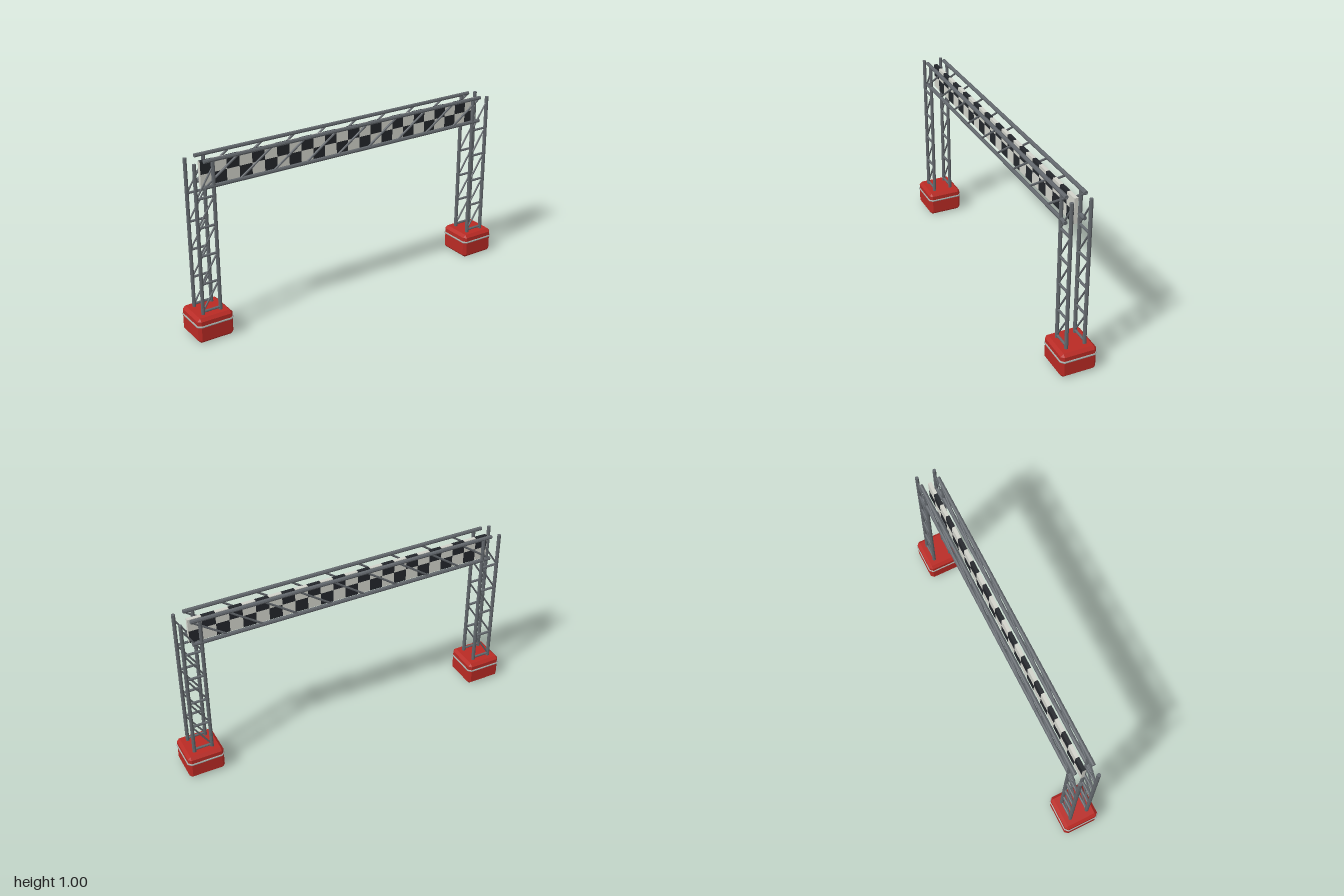
import * as THREE from 'three';
import { ConvexGeometry } from 'three/addons/geometries/ConvexGeometry.js';

const mat = (color) => new THREE.MeshStandardMaterial({ color, flatShading: true });
const UP = new THREE.Vector3(0, 1, 0);

export function createModel() {
  const root = new THREE.Group();
  const steel = mat(0x62676c), red = mat(0xb82a24), strap = mat(0xa3a9a6);
  const dark = mat(0x23262b), light = mat(0xd0d1c9);

  // Straight round bar between two points
  function bar(parent, name, a, b, r, material = steel) {
    const p = new THREE.Vector3(...a), q = new THREE.Vector3(...b);
    const dir = q.clone().sub(p);
    const m = new THREE.Mesh(new THREE.CylinderGeometry(r, r, dir.length(), 8), material);
    m.position.copy(p).add(q).multiplyScalar(0.5);
    m.quaternion.setFromUnitVectors(UP, dir.normalize());
    m.name = name;
    parent.add(m);
  }

  function box(parent, name, w, h, d, x, y, z, material) {
    const m = new THREE.Mesh(new THREE.BoxGeometry(w, h, d), material);
    m.position.set(x, y, z);
    m.name = name;
    parent.add(m);
  }

  // Ballast bases: box with every edge chamfered, and a strap around it
  const hx = 0.103, hz = 0.101, hy = 0.0725, c = 0.016;
  function makeBase(x) {
    const g = new THREE.Group();
    g.name = 'base';
    const pts = [];
    for (const sx of [-1, 1]) for (const sy of [-1, 1]) for (const sz of [-1, 1]) {
      pts.push(
        new THREE.Vector3(sx * hx, sy * (hy - c), sz * (hz - c)),
        new THREE.Vector3(sx * (hx - c), sy * hy, sz * (hz - c)),
        new THREE.Vector3(sx * (hx - c), sy * (hy - c), sz * hz));
    }
    const block = new THREE.Mesh(new ConvexGeometry(pts), red);
    block.position.y = hy;
    block.name = 'ballastBlock';
    g.add(block);

    const y = 0.1;
    const loop = [
      [hx, y, hz - c], [hx - c, y, hz], [c - hx, y, hz], [-hx, y, hz - c],
      [-hx, y, c - hz], [c - hx, y, -hz], [hx - c, y, -hz], [hx, y, c - hz]];
    loop.forEach((p, i) => {
      bar(g, 'strap', p, loop[(i + 1) % 8], 0.0055, strap);
      const joint = new THREE.Mesh(new THREE.SphereGeometry(0.0055, 8, 6), strap);
      joint.position.set(...p);
      joint.name = 'strapJoint';
      g.add(joint);
    });
    g.position.x = x;
    root.add(g);
  }

  // Ladder truss of one tower face
  function makeTower(x, z) {
    const g = new THREE.Group();
    g.name = 'towerFace';
    const half = 0.051, y0 = 0.16, step = 0.159;
    for (const s of [-1, 1]) bar(g, 'post', [s * half, 0.14, 0], [s * half, 0.987, 0], 0.0105);
    for (let i = 0; i < 5; i++) {
      const y = y0 + i * step;
      bar(g, 'rung', [-half, y, 0], [half, y, 0], 0.007);
      bar(g, 'brace', [-half, y, 0], [half, y + step, 0], 0.005);
    }
    g.position.set(x, 0, z);
    root.add(g);
  }

  // Horizontal truss
  const span = 0.89, bays = 9;
  function makeBeam(z) {
    const g = new THREE.Group();
    g.name = 'beamFace';
    for (const y of [0.85, 0.989]) bar(g, 'chord', [-span, y, 0], [span, y, 0], 0.011);
    const w = 2 * span / bays;
    for (let i = 0; i < bays; i++) {
      bar(g, 'brace', [-span + i * w, 0.85, 0], [-span + (i + 1) * w, 0.989, 0], 0.006);
    }
    g.position.z = z;
    root.add(g);
  }

  for (const x of [-0.8915, 0.8915]) {
    makeBase(x);
    for (const z of [-0.052, 0.052]) makeTower(x, z);
  }
  for (const z of [-0.052, 0.052]) makeBeam(z);

  // Chequered banner between the two beam faces
  const banner = new THREE.Group();
  banner.name = 'banner';
  const cols = 24, w = 2 * span / cols, h = 0.071;
  for (let i = 0; i < cols; i++) for (let j = 0; j < 2; j++) {
    box(banner, 'bannerTile', w, h, 0.02, -span + (i + 0.5) * w, 0.833 + (j + 0.5) * h, 0,
      (i + j) % 2 ? dark : light);
  }
  for (const s of [-1, 1]) box(banner, 'bannerEnd', 0.002, 2 * h, 0.02, s * (span + 0.001), 0.833 + h, 0, light);
  root.add(banner);

  return root;
}
